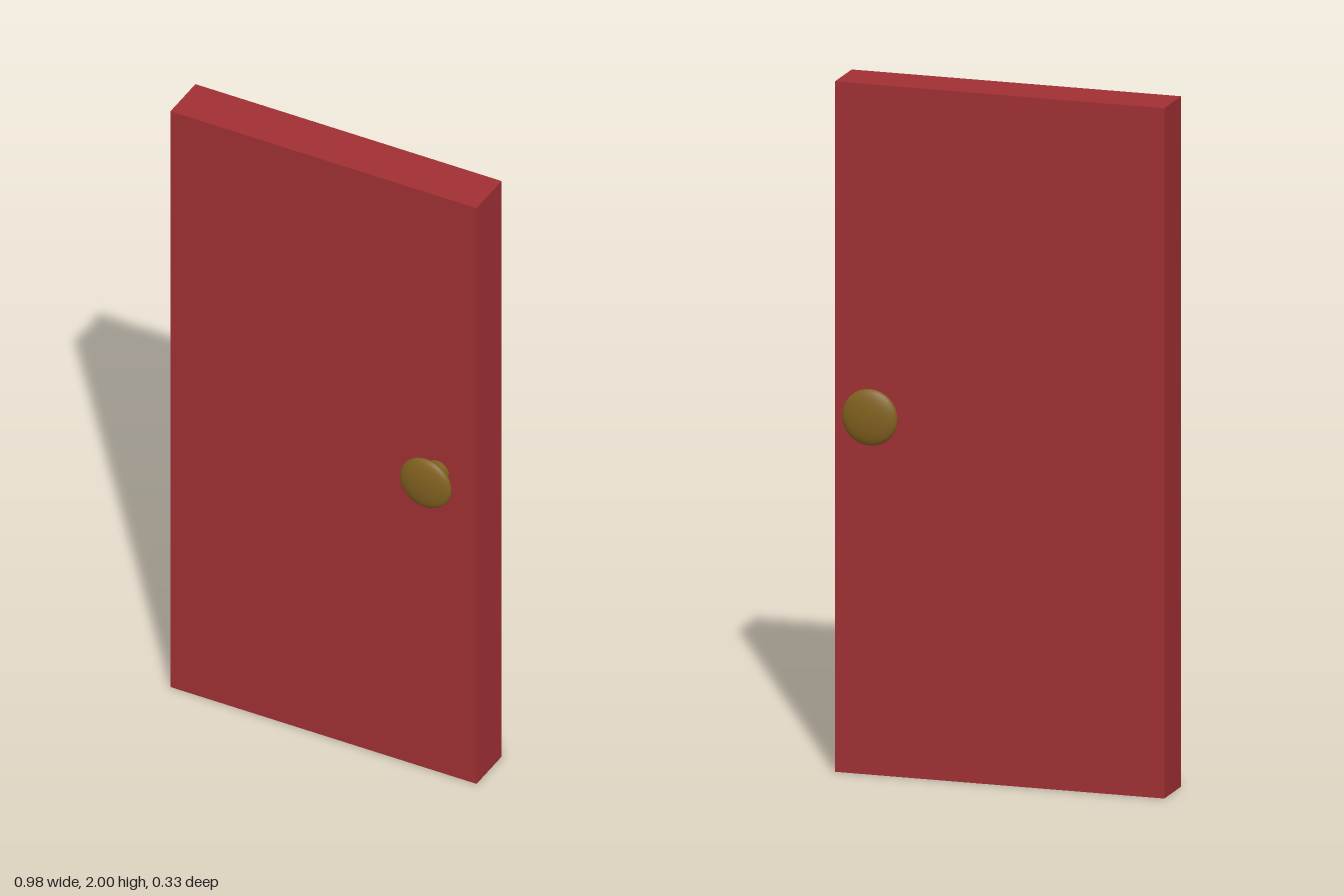
import * as THREE from 'three';

export function createModel() {
  const model = new THREE.Group();
  const red = new THREE.MeshStandardMaterial({ color: 0xa03033 });
  const brass = new THREE.MeshStandardMaterial({ color: 0x80601f });

  const add = (name, geometry, material, x, y, z) => {
    const mesh = new THREE.Mesh(geometry, material);
    mesh.name = name;
    mesh.position.set(x, y, z);
    model.add(mesh);
    return mesh;
  };

  // Plain door slab, set slightly towards the back
  add('doorPanel', new THREE.BoxGeometry(0.978, 2, 0.148), red, 0, 1, -0.008);

  // One spindle runs through the door and joins both knobs
  const spindle = new THREE.CylinderGeometry(0.037, 0.037, 0.28, 32).rotateX(Math.PI / 2);
  add('knobSpindle', spindle, brass, 0.364, 1.043, 0);

  // Flattened round knob on each face
  const knob = new THREE.SphereGeometry(0.082, 32, 24).rotateX(Math.PI / 2).scale(1, 1, 0.3);
  for (const [name, side] of [['frontKnob', 1], ['backKnob', -1]]) {
    add(name, knob, brass, 0.366, 1.05, side * 0.139);
  }

  return model;
}
